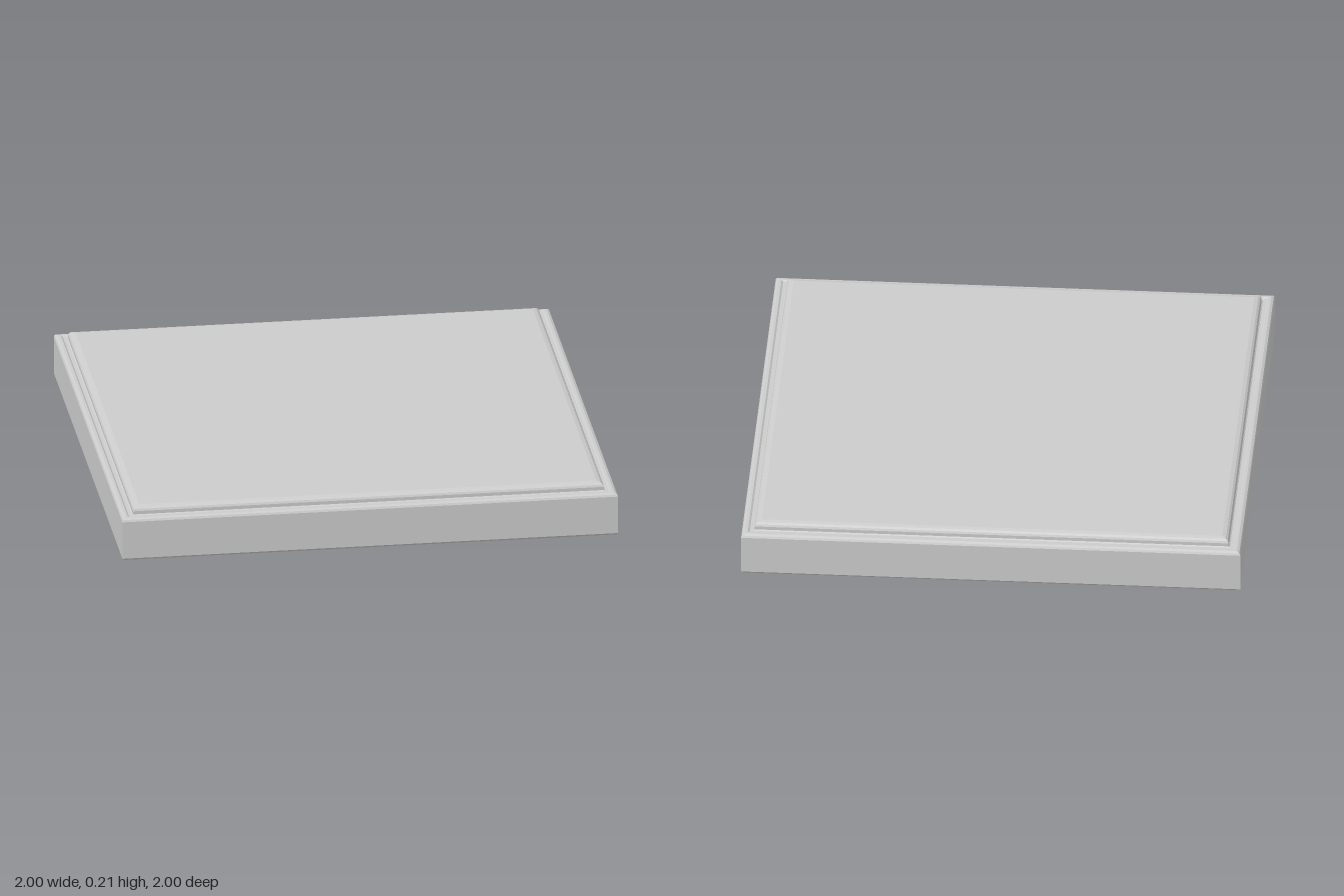
import * as THREE from 'three';

const material = new THREE.MeshStandardMaterial({ color: 0xcccccc, flatShading: true });

// Sweeps a half-width/height profile around a square plan.
function squareMoulding(name, profile) {
  const points = profile.map(([half, y]) => new THREE.Vector2(half * Math.SQRT2, y));
  const geometry = new THREE.LatheGeometry(points, 4, Math.PI / 4).toNonIndexed();
  geometry.computeVertexNormals();
  const mesh = new THREE.Mesh(geometry, material);
  mesh.name = name;
  return mesh;
}

export function createModel() {
  const group = new THREE.Group();
  group.name = 'squareSlab';

  // Base slab: eased bottom edge, rounded top edge and a shallow groove
  group.add(squareMoulding('baseSlab', [
    [0, 0], [0.993, 0], [1, 0.008], [1, 0.165], [0.996, 0.173], [0.986, 0.178],
    [0.975, 0.178], [0.968, 0.173], [0.955, 0.173], [0.948, 0.178], [0, 0.178],
  ]));

  // Raised panel with a rounded upper edge
  group.add(squareMoulding('raisedPanel', [
    [0.95, 0.174], [0.95, 0.19], [0.946, 0.198], [0.938, 0.204], [0.922, 0.208], [0, 0.208],
  ]));

  return group;
}
